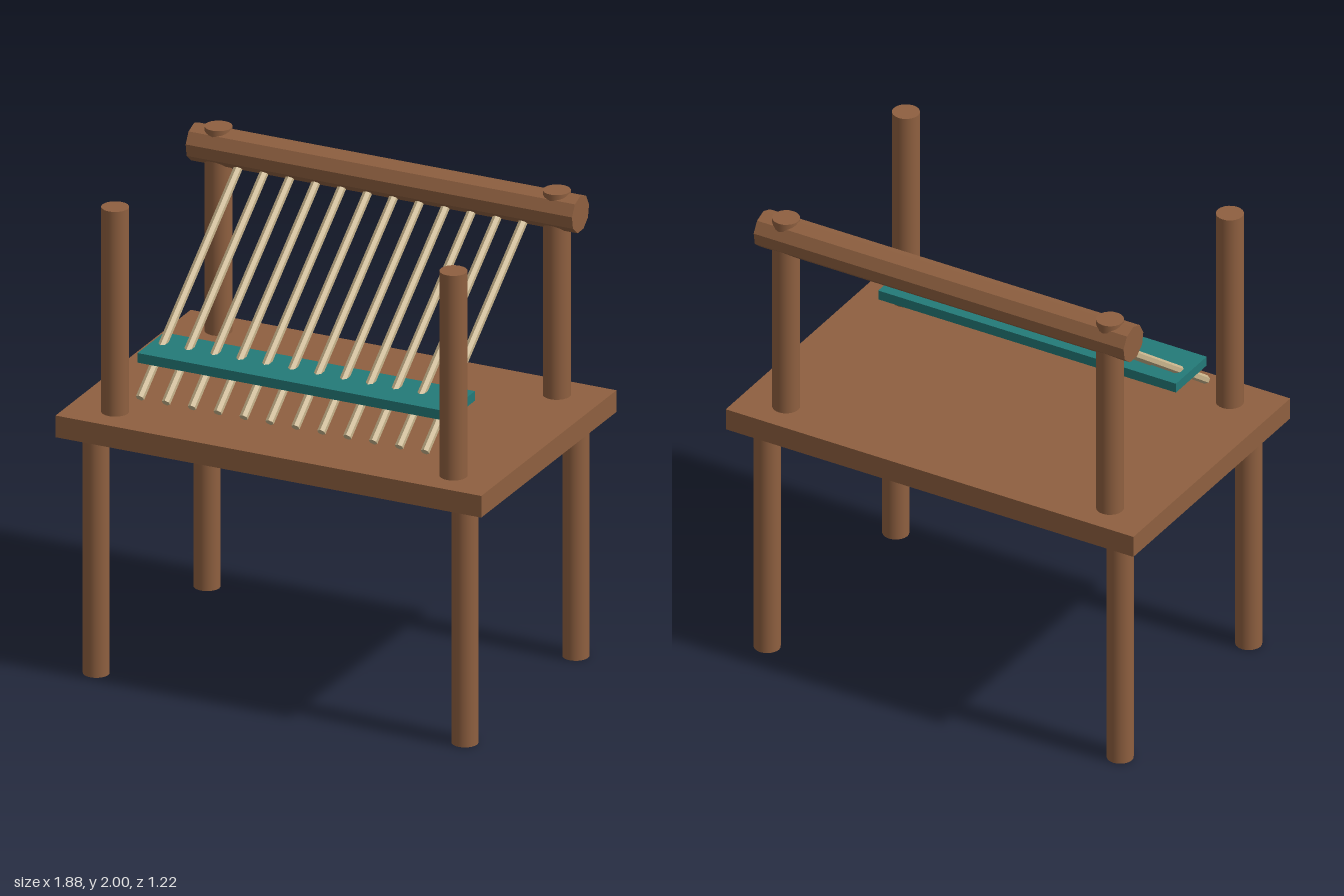
import * as THREE from 'three';

export function createModel() {
  const group = new THREE.Group();
  const flat = (name, color, flatShading = false) => {
    const m = new THREE.MeshStandardMaterial({ color, flatShading });
    m.name = name;
    return m;
  };
  const wood = flat('brown wood', 0x8f6040);
  const beamWood = wood.clone();
  beamWood.flatShading = true;
  const teal = flat('teal shelf', 0x237a78);
  const cane = flat('pale cane', 0xc8b48c, true);

  const add = (name, geometry, material, x, y, z) => {
    const mesh = new THREE.Mesh(geometry, material);
    mesh.name = name;
    mesh.position.set(x, y, z);
    group.add(mesh);
    return mesh;
  };

  // Table top
  add('tableTop', new THREE.BoxGeometry(1.88, 0.093, 1.215), wood, 0, 1.075, 0);

  // Four legs below and four posts above
  const legGeo = new THREE.CylinderGeometry(0.054, 0.054, 1.03, 20);
  const postGeo = new THREE.CylinderGeometry(0.056, 0.056, 0.89, 20);
  for (const sx of [-1, 1]) {
    for (const sz of [-1, 1]) {
      add('leg', legGeo, wood, sx * 0.814, 0.515, sz * 0.498);
      add('post', postGeo, wood, sx * 0.747, 1.555, sz * 0.464);
    }
  }

  // Nine-sided beam across the rear posts, one corner upwards
  const beamGeo = new THREE.CylinderGeometry(0.078, 0.078, 1.706, 9, 1, false, Math.PI / 2);
  beamGeo.rotateZ(Math.PI / 2);
  add('beam', beamGeo, beamWood, 0, 1.917, -0.461);

  // Shelf pierced by the rods
  add('shelf', new THREE.BoxGeometry(1.373, 0.041, 0.238), teal, 0, 1.333, 0.267);

  // Row of sloping six-sided rods from the beam down through the shelf
  const low = new THREE.Vector3(0, 1.195, 0.457);
  const high = new THREE.Vector3(0, 1.87, -0.448);
  const dir = high.clone().sub(low);
  const mid = low.clone().add(high).multiplyScalar(0.5);
  const rodGeo = new THREE.CylinderGeometry(0.018, 0.018, dir.length(), 6);
  const tilt = Math.atan2(dir.z, dir.y);
  for (let i = 0; i < 12; i++) {
    add('rod', rodGeo, cane, -0.641 + i * 0.1144, mid.y, mid.z).rotation.x = tilt;
  }

  return group;
}
